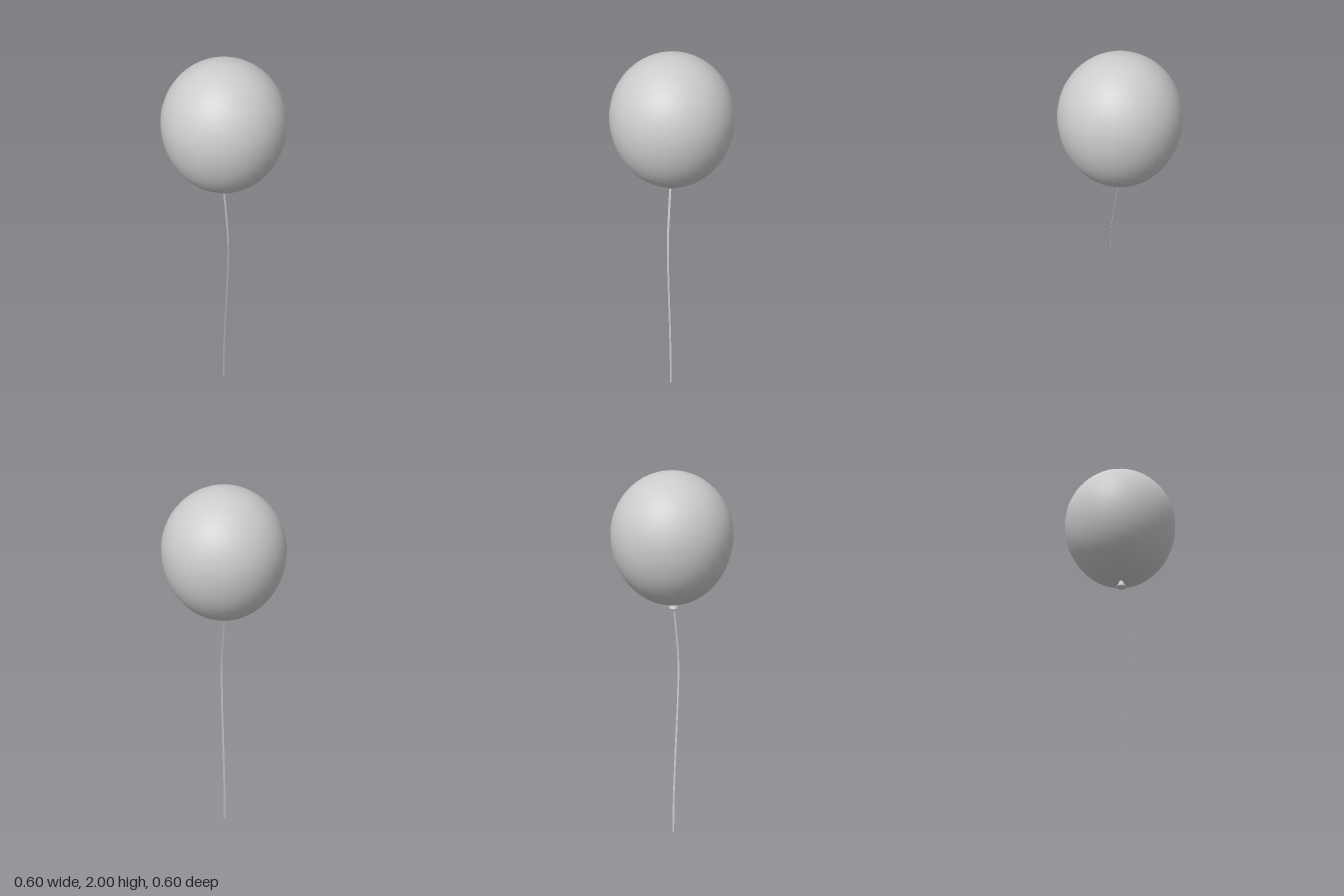
import * as THREE from 'three';

const CX = -0.006, CZ = 0.006; // axis of the knot and string

export function createModel() {
  const model = new THREE.Group();
  const grey = new THREE.MeshStandardMaterial({ color: 0xcccccc });
  const thin = new THREE.MeshStandardMaterial({ color: 0xcccccc, side: THREE.DoubleSide });
  const points = (list) => list.map(([a, b]) => new THREE.Vector2(a, b));

  const add = (name, geometry, material, x = 0, z = 0) => {
    const mesh = new THREE.Mesh(geometry, material);
    mesh.name = name;
    mesh.position.set(x, 0, z);
    model.add(mesh);
  };

  // Balloon skin: half egg below, rounder dome above the widest level
  const WIDEST = 1.69, profile = [];
  for (let i = 0; i <= 24; i++) {
    const a = -Math.PI / 2 + (Math.PI * i) / 24;
    const height = a < 0 ? 0.348 : 0.31;
    profile.push([0.3 * Math.max(0, Math.cos(a)), WIDEST + height * Math.sin(a)]);
  }
  add('balloon', new THREE.LatheGeometry(points(profile), 32), grey);

  // Tied knot: narrow neck flaring to an open lip
  const knot = [[0, 1.318], [0.014, 1.312], [0.025, 1.308], [0.024, 1.316], [0.013, 1.335], [0.012, 1.352]];
  add('knot', new THREE.LatheGeometry(points(knot), 12), thin, CX, CZ);

  // String: flat ribbon that sways forward along its length
  const path = new THREE.CatmullRomCurve3(
    [[0, 0], [0.2, 0.002], [0.4, 0.013], [0.6, 0.026], [0.8, 0.039], [1.0, 0.044], [1.2, 0.02], [1.32, 0]]
      .map(([y, z]) => new THREE.Vector3(0, y, z)));
  const ribbon = new THREE.PlaneGeometry(0.011, 1, 1, 40);
  const pos = ribbon.attributes.position;
  for (let i = 0; i < pos.count; i++) {
    const p = path.getPoint(THREE.MathUtils.clamp(pos.getY(i) + 0.5, 0, 1));
    pos.setXYZ(i, pos.getX(i), p.y, p.z);
  }
  ribbon.computeVertexNormals();
  add('string', ribbon, thin, CX, CZ);

  return model;
}
